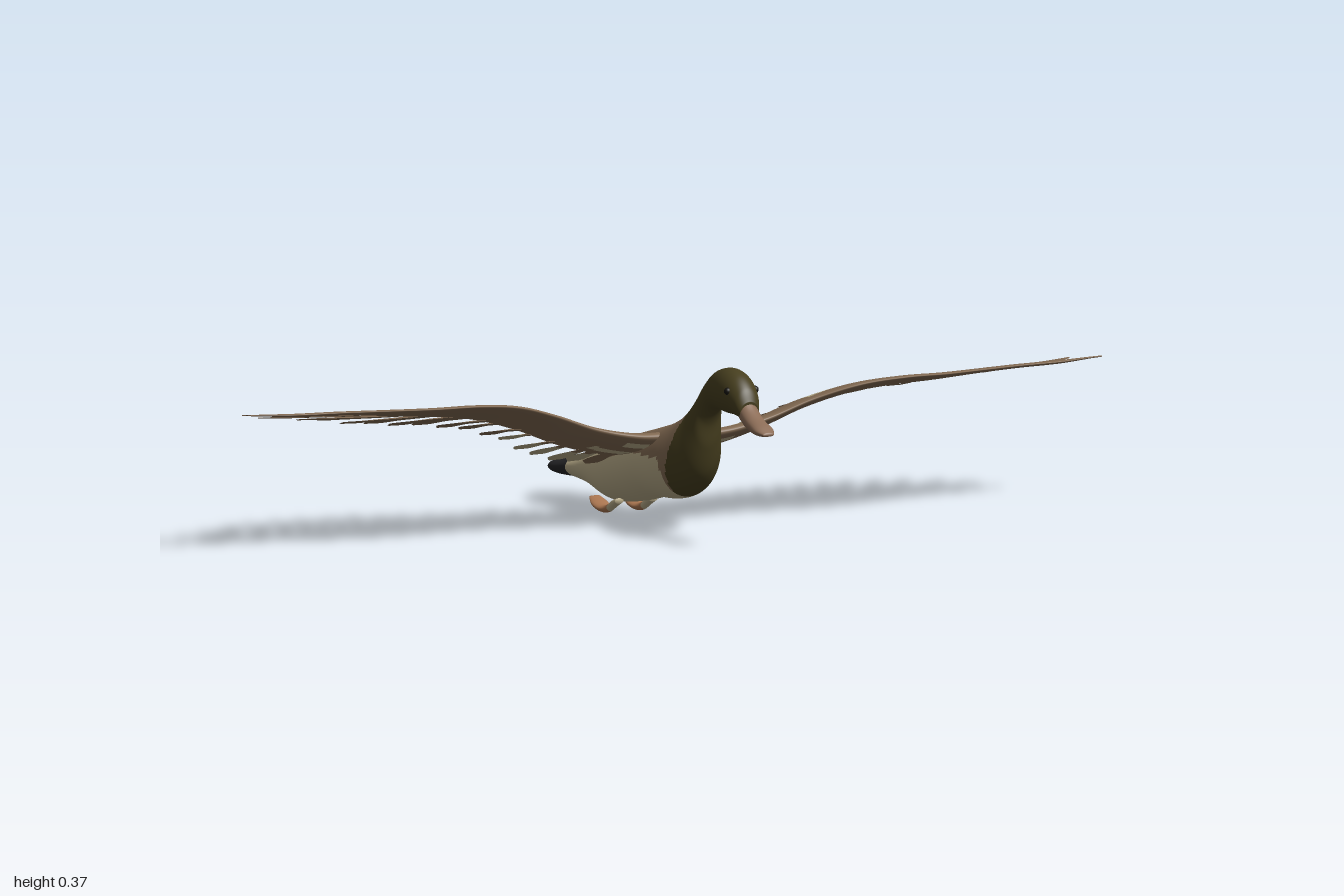
import * as THREE from 'three';
import { toCreasedNormals } from 'three/addons/utils/BufferGeometryUtils.js';

const mat = (name, color) => Object.assign(new THREE.MeshStandardMaterial({ color }), { name });

// Smooth curve through evenly spaced values, t from 0 to 1
function table(values) {
  const curve = new THREE.SplineCurve(values.map((v, i) => new THREE.Vector2(i, v)));
  return t => curve.getPoint(THREE.MathUtils.clamp(t, 0, 1)).y;
}

// Skin closed rings of points; pick(centre, j) chooses the material of each quad
function loft(rings, materialCount, pick, flip = false) {
  const n = rings[0].length;
  const buckets = Array.from({ length: materialCount }, () => []);
  const centre = new THREE.Vector3();
  for (let i = 0; i < rings.length - 1; i++) {
    for (let j = 0; j < n; j++) {
      const k = (j + 1) % n;
      centre.copy(rings[i][j]).add(rings[i][k]).add(rings[i + 1][j]).add(rings[i + 1][k]).multiplyScalar(0.25);
      const a = i * n + j, b = i * n + k, c = b + n, d = a + n;
      buckets[pick(centre, j)].push(...(flip ? [a, c, b, a, d, c] : [a, b, c, a, c, d]));
    }
  }
  const geo = new THREE.BufferGeometry().setFromPoints(rings.flat());
  geo.setIndex(buckets.flat());
  let start = 0;
  buckets.forEach((b, m) => {
    if (b.length) geo.addGroup(start, b.length, m);
    start += b.length;
  });
  geo.computeVertexNormals();
  return geo;
}

// Elliptical rings from stations [topZ, topY, bottomZ, bottomY, halfWidth], ordered back to front
function stationRings(stations, steps, sides, x0 = 0) {
  const f = [0, 1, 2, 3, 4].map(k => table(stations.map(s => s[k])));
  const rings = [];
  for (let i = 0; i <= steps; i++) {
    const [tz, ty, bz, by, w] = f.map(g => g(i / steps));
    const ring = r => Array.from({ length: sides }, (_, j) => {
      const a = (j / sides) * Math.PI * 2, s = Math.sin(a) * r;
      return new THREE.Vector3(x0 + w * r * Math.cos(a),
        (ty + by) / 2 + s * (ty - by) / 2, (tz + bz) / 2 + s * (tz - bz) / 2);
    });
    if (i === 0) rings.push(ring(0));
    rings.push(ring(1));
    if (i === steps) rings.push(ring(0));
  }
  return rings;
}

// Wing shape, sampled along x from 0 to 1
const leadZ = table([0.08, 0.085, 0.08, 0.09, 0.118, 0.133, 0.12, 0.092, 0.07, 0.063, 0.045]);
const trailZ = table([-0.1, -0.105, -0.11, -0.105, -0.09, -0.07, -0.05, -0.03, -0.01, 0.005, 0.034]);
const leadY = table([0.2, 0.202, 0.222, 0.258, 0.287, 0.298, 0.297, 0.296, 0.296, 0.297, 0.3]);
const thick = table([0.026, 0.022, 0.018, 0.015, 0.013, 0.011, 0.009, 0.007, 0.006, 0.005, 0.002]);
const stripeZ = table([0.05, 0.05, 0.05, 0.045, 0.022, 0.008, 0.004, 0.003, 0.01, 0.018, 0.024]);
const stripeHalf = table([0.024, 0.024, 0.024, 0.024, 0.026, 0.026, 0.025, 0.024, 0.022, 0.014, 0.01]);
const wingY = (x, z) => leadY(x) - (0.33 - 0.2 * x) * (leadZ(x) - z);
const inside = (v, lo, hi) => v > lo && v < hi;

function wingGeometry(side) {
  const sides = 64, steps = 90, rings = [];
  for (let i = 0; i <= steps; i++) {
    const x = 0.03 + 0.97 * i / steps;
    const mid = (leadZ(x) + trailZ(x)) / 2, half = (leadZ(x) - trailZ(x)) / 2;
    rings.push(Array.from({ length: sides }, (_, j) => {
      const a = (j / sides) * Math.PI * 2, z = mid + half * Math.sin(a);
      const taper = 0.3 + 0.35 * (Math.sin(a) + 1);
      return new THREE.Vector3(side * x, wingY(x, z) + thick(x) * taper * Math.cos(a), z);
    }));
  }
  return loft(rings, 2, (c, j) => {
    const x = Math.abs(c.x), z = c.z;
    // Underside: two pale patches near the root
    if (j >= sides / 4 && j < sides * 3 / 4) {
      return (inside(x, 0.08, 0.17) && inside(z, -0.045, 0)) || (inside(x, 0.07, 0.13) && inside(z, 0.04, 0.07)) ? 1 : 0;
    }
    // Top: long pale stripe, shoulder patch and a small fleck
    const stripe = inside(x, 0.3, 0.96) && Math.abs(z - stripeZ(x)) < stripeHalf(x);
    const shoulder = inside(x, 0.075, 0.155) && inside(z, 0.028, 0.055);
    const fleck = inside(x, 0.145, 0.185) && z < -0.085;
    return stripe || shoulder || fleck ? 1 : 0;
  }, side < 0);
}

// Feather roots and tips, sampled along the tip's x from 0 to 1
const tipZ = table([-0.17, -0.205, -0.24, -0.215, -0.222, -0.24, -0.245, -0.23, -0.185, -0.12, -0.04]);
const rootX = table([0.03, 0.1, 0.18, 0.27, 0.36, 0.44, 0.52, 0.59, 0.66, 0.73, 0.8]);
const featherWidth = table([0.013, 0.018, 0.021, 0.023, 0.024, 0.024, 0.021, 0.005]);

function featherGeometry(tx, index, side) {
  const rx = rootX(tx), rz = trailZ(rx) + 0.045;
  const dir = new THREE.Vector3(tx - rx, 0, tipZ(tx) - rz).normalize();
  const across = new THREE.Vector3().crossVectors(dir, new THREE.Vector3(0, 1, 0));
  const rings = [], steps = 16;
  for (let i = 0; i <= steps; i++) {
    const t = i / steps, w = featherWidth(t) * (0.8 + 0.25 * tx), bend = 0.02 * tx * Math.sin(Math.PI * t);
    const x = rx + (tx - rx) * t + bend, z = rz + (tipZ(tx) - rz) * t - bend * 0.5;
    const y = wingY(x, z) - 0.002 + (index % 2) * 0.003, h = 0.0035 * (1 - 0.7 * t);
    rings.push([[0, h], [w, 0], [0, -h], [-w, 0]].map(([a, up]) =>
      new THREE.Vector3(side * (x + across.x * a), y + up + a * 0.2 * t, z + across.z * a)));
  }
  // Innermost feathers are pale beyond the wing's edge
  const pale = inside(tx, 0.1, 0.29);
  return toCreasedNormals(loft(rings, 2, c => (pale && c.z < -0.115 ? 1 : 0), side < 0), 0.6);
}

export function createModel() {
  const green = mat('olive green', 0x473f1f);
  const brown = mat('warm brown', 0x826a52);
  const cream = mat('cream', 0xbaad8a);
  const black = mat('tail black', 0x252527);
  const bill = mat('bill tan', 0x8c6d57);
  const orange = mat('foot orange', 0xa8744f);
  const eyeBlack = mat('eye black', 0x14120e);

  const model = new THREE.Group();
  model.name = 'flyingDuck';
  const add = (name, geo, material, parent = model) => {
    const mesh = new THREE.Mesh(geo, material);
    mesh.name = name;
    parent.add(mesh);
    return mesh;
  };

  // Tail, body, neck and head in one smooth skin
  const bodyStations = [
    [-0.48, 0.081, -0.48, 0.073, 0.014], [-0.45, 0.089, -0.45, 0.061, 0.052],
    [-0.4, 0.099, -0.4, 0.055, 0.08], [-0.34, 0.112, -0.34, 0.055, 0.077],
    [-0.28, 0.13, -0.28, 0.044, 0.069], [-0.2, 0.155, -0.2, 0.025, 0.073],
    [-0.1, 0.183, -0.1, 0.038, 0.08], [0, 0.208, -0.01, 0.057, 0.083],
    [0.08, 0.23, 0.07, 0.064, 0.079], [0.13, 0.253, 0.125, 0.083, 0.063],
    [0.155, 0.275, 0.17, 0.125, 0.046], [0.178, 0.3, 0.194, 0.185, 0.034],
    [0.202, 0.323, 0.205, 0.24, 0.029], [0.23, 0.345, 0.228, 0.271, 0.029],
    [0.265, 0.364, 0.262, 0.279, 0.035], [0.31, 0.372, 0.305, 0.276, 0.039],
    [0.35, 0.362, 0.345, 0.276, 0.036], [0.38, 0.338, 0.375, 0.271, 0.029],
    [0.394, 0.31, 0.387, 0.264, 0.022],
  ];
  const sides = 64;
  add('body', loft(stationRings(bodyStations, 200, sides), 4, (c, j) => {
    if (c.z > 0.1 + 0.28 * (c.y - 0.07)) return 0;
    if (c.z < -0.33) return Math.sin((j + 0.5) / sides * Math.PI * 2) < -0.7 ? 1 : 3;
    const collar = c.z > 0.103 && c.y > 0.085;
    const back = c.z > -0.19 && c.y > (c.z < -0.1 ? 0.135 : 0.158);
    return collar || back ? 1 : 2;
  }), [green, brown, cream, black]);

  // Bill, ordered from the face to the tip
  add('bill', loft(stationRings([
    [0.385, 0.313, 0.378, 0.264, 0.022], [0.405, 0.295, 0.4, 0.254, 0.022],
    [0.43, 0.28, 0.428, 0.247, 0.022], [0.46, 0.268, 0.46, 0.245, 0.022],
    [0.482, 0.255, 0.482, 0.248, 0.012],
  ], 24, 24), 1, () => 0), [bill]);

  for (const side of [1, -1]) {
    const label = side > 0 ? 'left' : 'right';
    const eye = add(label + 'Eye', new THREE.SphereGeometry(0.008, 16, 12), eyeBlack);
    eye.position.set(side * 0.032, 0.33, 0.352);

    // Wing with a fan of feathers along its trailing edge
    const wing = new THREE.Group();
    wing.name = label + 'Wing';
    model.add(wing);
    add(label + 'WingBlade', wingGeometry(side), [brown, cream], wing);
    const count = 18;
    for (let i = 0; i < count; i++) {
      const t = i / (count - 1), tx = 0.09 + 0.88 * (0.65 * t + 0.35 * t * t);
      add(label + 'Feather' + (i + 1), featherGeometry(tx, i, side), [brown, cream], wing);
    }

    // Leg tuft and webbed foot trailing backwards
    add(label + 'Foot', loft(stationRings([
      [-0.262, 0.031, -0.262, 0.027, 0.013], [-0.238, 0.024, -0.24, 0.01, 0.02],
      [-0.215, 0.017, -0.215, 0.001, 0.016], [-0.195, 0.021, -0.19, 0.005, 0.009],
      [-0.17, 0.033, -0.165, 0.018, 0.01], [-0.145, 0.04, -0.145, 0.028, 0.01],
    ], 24, 16, side * 0.04), 2, c => (c.z > -0.188 ? 1 : 0)), [orange, cream]);
  }
  return model;
}
